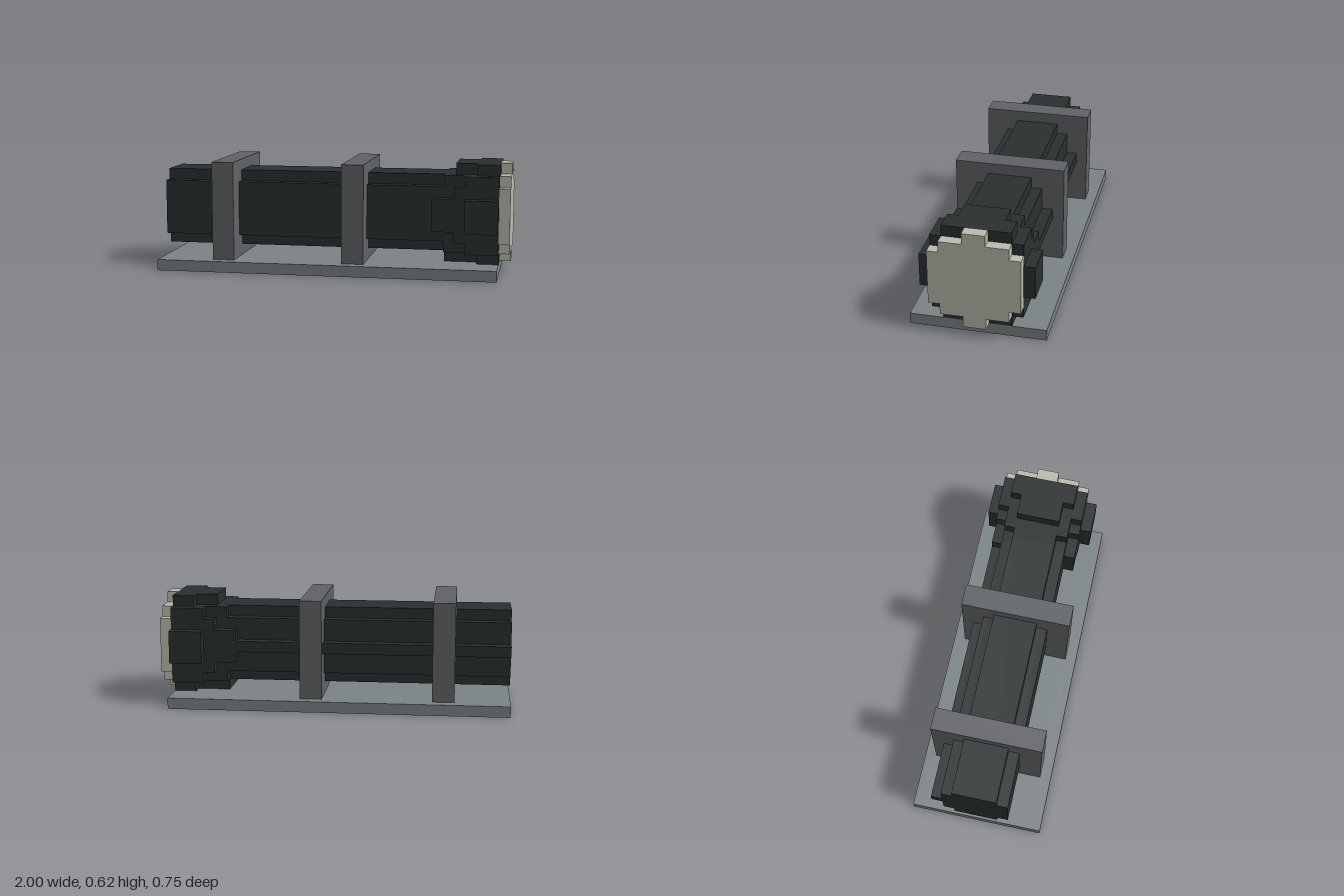
import * as THREE from 'three';

const U = 1 / 16;      // size of one block
const AXIS_Y = 5.5;    // height of the barrel axis, in blocks

const material = (color) => new THREE.MeshStandardMaterial({ color, flatShading: true });

// Stepped, mirrored cross-section extruded along x.
// steps: [half width, half height] pairs, widest first.
function steppedBar(name, x0, x1, steps, mat) {
  const quarter = [];
  steps.forEach(([w, h], i) => {
    if (i > 0) quarter.push([w, steps[i - 1][1]]);
    quarter.push([w, h]);
  });
  const back = [...quarter].reverse();
  const outline = [
    ...quarter,
    ...back.map(([w, h]) => [-w, h]),
    ...quarter.map(([w, h]) => [-w, -h]),
    ...back.map(([w, h]) => [w, -h]),
  ].map(([w, h]) => new THREE.Vector2(w * U, h * U));
  const geo = new THREE.ExtrudeGeometry(new THREE.Shape(outline), { depth: (x1 - x0) * U, bevelEnabled: false });
  geo.rotateY(Math.PI / 2);
  geo.translate(x0 * U, AXIS_Y * U, 0);
  const mesh = new THREE.Mesh(geo, mat);
  mesh.name = name;
  return mesh;
}

// Box given by its limits in blocks
function block(name, [x0, x1], [y0, y1], [z0, z1], mat) {
  const geo = new THREE.BoxGeometry((x1 - x0) * U, (y1 - y0) * U, (z1 - z0) * U);
  geo.translate((x0 + x1) * U / 2, (y0 + y1) * U / 2, (z0 + z1) * U / 2);
  const mesh = new THREE.Mesh(geo, mat);
  mesh.name = name;
  return mesh;
}

function rectangle(x0, x1, z, Type) {
  return new Type([[x0, -z], [x1, -z], [x1, z], [x0, z]].map(([a, b]) => new THREE.Vector2(a * U, b * U)));
}

export function createModel() {
  const model = new THREE.Group();
  model.name = 'spotlight';
  const dark = material(0x2a3030);
  const grey = material(0x606366);
  const steel = material(0x7c8486);
  const cream = material(0xbdbcb1);

  // Base plate, slotted so the brackets sit flush with its underside
  const brackets = [[-11, -9], [1, 3]];
  const plate = rectangle(-16, 15, 6, THREE.Shape);
  brackets.forEach(([a, b]) => plate.holes.push(rectangle(a, b, 5, THREE.Path)));
  const plateGeo = new THREE.ExtrudeGeometry(plate, { depth: U, bevelEnabled: false });
  plateGeo.rotateX(-Math.PI / 2);
  const base = new THREE.Mesh(plateGeo, steel);
  base.name = 'basePlate';
  model.add(base);

  // Brackets around the barrel
  brackets.forEach((span) => model.add(block('bracket', span, [0, 10], [-5, 5], grey)));

  // Barrel with a thin rib along its back
  model.add(steppedBar('barrel', -16, 9, [[3, 2.5], [2, 3.5]], dark));
  model.add(block('rearRib', [-16, 9], [5, 6], [-4, -3], dark));

  // Head flaring out in steps
  const head = new THREE.Group();
  head.name = 'flaredHead';
  [
    [9, 10, [[4, 1.5], [3, 2.5], [2, 3.5]]],
    [10, 11, [[4, 1.5], [3, 3.5]]],
    [11, 12, [[4, 2.5], [3, 3.5], [2, 4.5]]],
    [12, 13, [[5, 1.5], [4, 3.5], [2, 4.5]]],
    [13, 15, [[5, 1.5], [4, 3.5], [3, 4.5]]],
  ].forEach(([a, b, steps]) => head.add(steppedBar('headRing', a, b, steps, dark)));
  head.add(block('lowerLip', [10, 11], [1, 2], [-2, 2], dark));
  model.add(head);

  // Pale lens at the end of the head
  model.add(steppedBar('lens', 15, 16, [[4, 2.5], [3, 3.5], [1, 4.5]], cream));

  return model;
}
